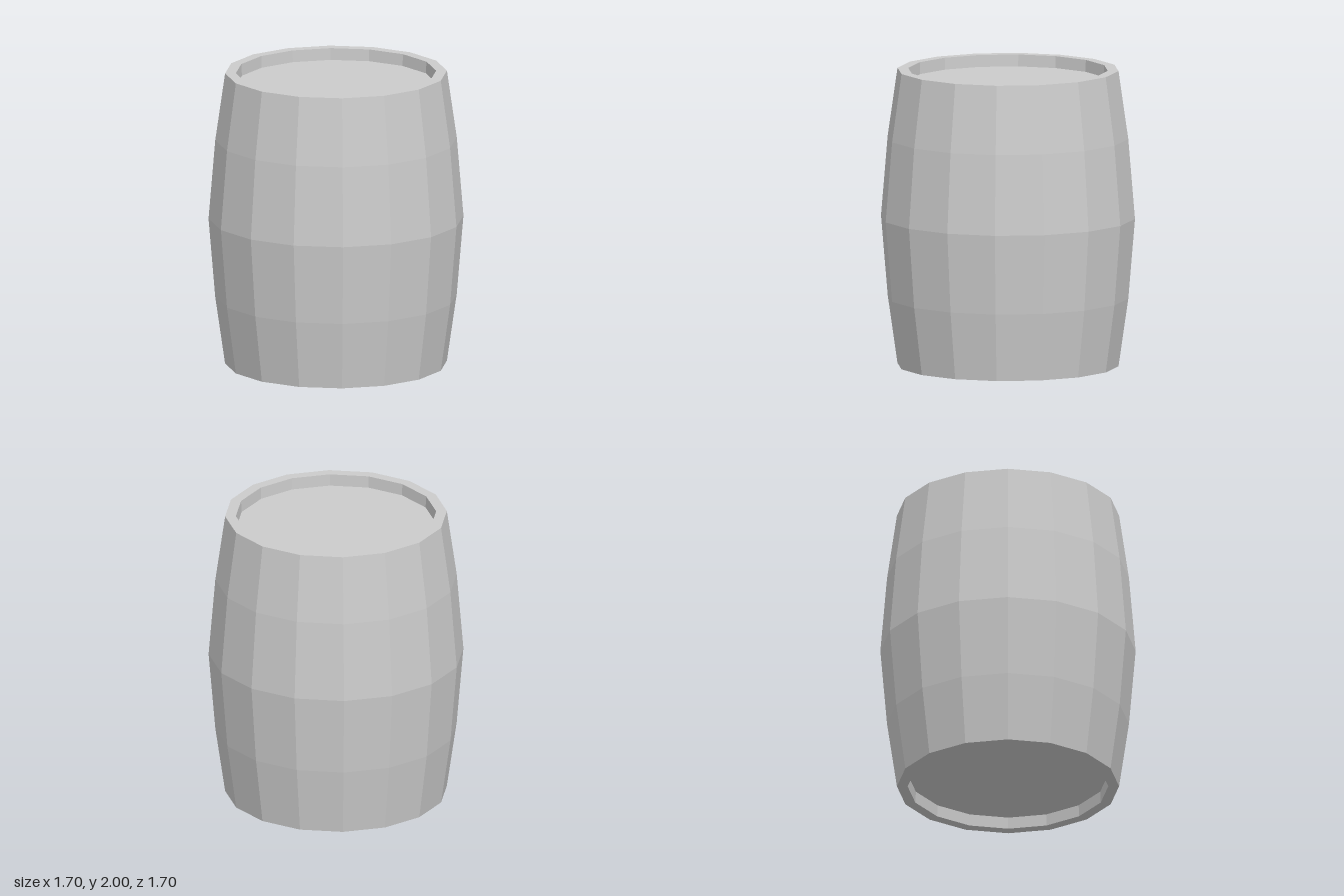
import * as THREE from 'three';

const SIDES = 16;
const TURN = THREE.MathUtils.degToRad(5.1);

export function createModel() {
  const group = new THREE.Group();
  group.name = 'barrel';
  const material = new THREE.MeshStandardMaterial({ color: 0xcccccc, flatShading: true });

  // Revolve a profile of [radius, height] pairs, listed from bottom to top on the outside
  const addLathe = (name, profile) => {
    const points = profile.map(([r, y]) => new THREE.Vector2(r, y));
    const mesh = new THREE.Mesh(new THREE.LatheGeometry(points, SIDES, TURN), material);
    mesh.name = name;
    group.add(mesh);
  };

  // Bulging side wall
  addLathe('staves', [[0.744, 0], [0.81, 0.46], [0.855, 1], [0.81, 1.54], [0.744, 2]]);

  // Flat rims with the short walls that drop to the recessed heads
  addLathe('topRim', [[0.744, 2], [0.672, 2], [0.668, 1.92]]);
  addLathe('bottomRim', [[0.668, 0.08], [0.672, 0], [0.744, 0]]);

  // Recessed heads
  addLathe('topHead', [[0.668, 1.92], [0, 1.92]]);
  addLathe('bottomHead', [[0, 0.08], [0.668, 0.08]]);

  return group;
}
